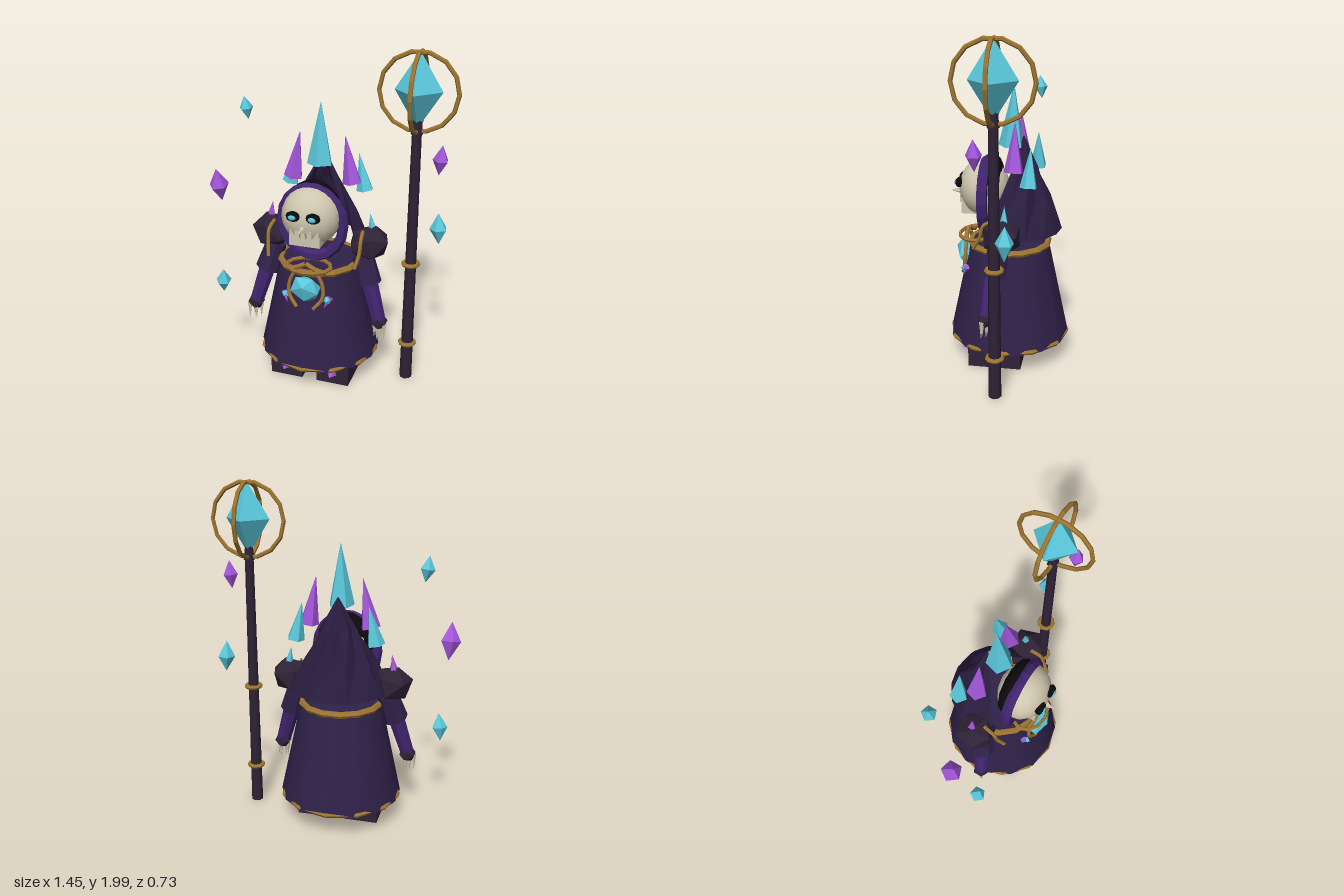
import * as THREE from 'three';

const mat = (name, color, side = THREE.FrontSide) => {
  const m = new THREE.MeshStandardMaterial({ color, side });
  m.name = name;
  return m;
};
const V = (x, y, z) => new THREE.Vector3(x, y, z);

// Gives every face its own normal for a faceted look
function facet(geo) {
  const g = geo.index ? geo.toNonIndexed() : geo;
  g.computeVertexNormals();
  return g;
}

export function createModel() {
  const robe = mat('robe cloth', 0x2f2149);
  const capeCloth = mat('cape cloth', 0x2a1d40, THREE.DoubleSide);
  const violet = mat('violet cloth', 0x41246f);
  const plum = mat('dark plum', 0x2e2236);
  const black = mat('black', 0x0a090d);
  const cyan = mat('cyan crystal', 0x5ac8dc);
  const purple = mat('purple crystal', 0xa356dc);
  const gold = mat('gold', 0x9c7430);
  const bone = mat('bone', 0xcfc6ae);

  const root = new THREE.Group();
  root.name = 'crystalMage';
  const body = new THREE.Group();
  body.name = 'body';
  body.position.x = -0.055;
  root.add(body);

  function add(parent, name, geo, material, pos = [0, 0, 0], rot = [0, 0, 0], scale = [1, 1, 1]) {
    const m = new THREE.Mesh(geo, material);
    m.name = name;
    m.position.set(...pos);
    m.rotation.set(...rot);
    m.scale.set(...scale);
    parent.add(m);
    return m;
  }
  // Tapered cylinder or cone running from a to b
  function between(parent, name, a, b, r0, r1, sides, material) {
    const d = b.clone().sub(a);
    const m = add(parent, name, facet(new THREE.CylinderGeometry(r1, r0, d.length(), sides)), material);
    m.position.copy(a).add(b).multiplyScalar(0.5);
    m.quaternion.setFromUnitVectors(V(0, 1, 0), d.normalize());
  }
  function tube(parent, name, points, r, material) {
    const curve = new THREE.CatmullRomCurve3(points);
    add(parent, name, facet(new THREE.TubeGeometry(curve, 10, r, 6)), material);
  }
  const ring = (r, t, n) => facet(new THREE.TorusGeometry(r, t, 6, n));
  const flat = Math.PI / 2;

  // Robe with gold hem and belt
  add(body, 'robe', new THREE.CylinderGeometry(0.235, 0.362, 0.59, 14), robe, [0, 0.45, 0]);
  add(body, 'hem', ring(0.35, 0.016, 12), gold, [0, 0.162, 0], [flat, 0, 0]);
  add(body, 'belt', ring(0.232, 0.02, 14), gold, [0, 0.735, 0], [flat, 0, 0]);

  // Collar and chest ornament
  add(body, 'collar', ring(0.13, 0.012, 12), gold, [0, 0.77, 0.2], [flat, 0, 0], [1, 0.77, 1]);
  add(body, 'chestGem', facet(new THREE.IcosahedronGeometry(0.097, 0)), cyan, [0, 0.65, 0.26], [0.3, 0, 0], [1, 1, 0.6]);

  // Hood rim, dark interior and cape
  add(body, 'hoodRim', ring(0.185, 0.03, 18), violet, [0, 1.015, 0.135], [0, 0, 0], [1, 1.12, 1.1]);
  add(body, 'hoodInterior', facet(new THREE.SphereGeometry(0.17, 14, 10)), black, [0, 1.07, 0.09], [0, 0, 0], [1, 1.1, 0.35]);
  const capeGeo = new THREE.CylinderGeometry(0.004, 0.29, 0.55, 10, 3, true, Math.PI * 0.37, Math.PI * 1.26);
  const p = capeGeo.attributes.position;
  for (let i = 0; i < p.count; i++) {
    const t = p.getY(i) / 0.55 + 0.5;
    const fold = 1 + (i % 2 ? -0.14 : 0.08) * Math.sin(Math.PI * t);
    p.setXYZ(i, p.getX(i) * fold, p.getY(i), p.getZ(i) * fold - 0.02 - 0.06 * t);
  }
  add(body, 'cape', facet(capeGeo), capeCloth, [0, 1.105, 0]);

  // Skull
  add(body, 'skull', new THREE.SphereGeometry(0.172, 16, 12), bone, [0, 1.065, 0.15], [0, 0, 0], [1, 1, 0.86]);
  add(body, 'jaw', new THREE.BoxGeometry(0.18, 0.062, 0.1), bone, [0, 0.953, 0.222]);
  add(body, 'nose', facet(new THREE.ConeGeometry(0.022, 0.07, 5)), bone, [0, 1.035, 0.318], [flat, 0, 0]);
  for (let i = -2; i <= 2; i++) {
    add(body, 'tooth', new THREE.BoxGeometry(0.026, 0.045, 0.03), bone, [i * 0.036, 0.998, 0.28 - 0.006 * i * i]);
  }

  // Crown: central spike, the paired spikes follow below
  between(body, 'crownSpike', V(0, 1.32, -0.01), V(0, 1.68, -0.025), 0.077, 0, 5, cyan);

  for (const s of [-1, 1]) {
    // Eyes
    add(body, 'eyeSocket', new THREE.SphereGeometry(1, 10, 8), black, [s * 0.058, 1.103, 0.285], [0, 0, 0], [0.043, 0.03, 0.028]);
    add(body, 'eyeGlow', new THREE.SphereGeometry(1, 8, 6), cyan, [s * 0.058, 1.103, 0.307], [0, 0, 0], [0.024, 0.016, 0.01]);

    // Crown side spikes
    between(body, 'crownSpike', V(s * 0.18, 1.21, -0.05), V(s * 0.135, 1.49, -0.05), 0.058, 0, 5, purple);
    between(body, 'crownSpike', V(s * 0.232, 1.14, -0.14), V(s * 0.19, 1.36, -0.145), 0.052, 0, 5, cyan);

    // Shoulder pad with strap and spike
    add(body, 'shoulderPad', facet(new THREE.IcosahedronGeometry(0.125, 0)), plum, [s * 0.3, 0.87, 0], [0, s * 0.3, s * 0.25], [1.02, 0.88, 0.95]);
    tube(body, 'shoulderStrap', [V(s * 0.272, 0.955, 0.04), V(s * 0.28, 0.92, 0.11), V(s * 0.278, 0.85, 0.13), V(s * 0.262, 0.775, 0.17)], 0.011, gold);
    between(body, 'shoulderSpike', V(s * 0.318, 0.935, -0.015), V(s * 0.3, 1.05, -0.015), 0.03, 0, 5, s < 0 ? purple : cyan);

    // Arm, hand and claws
    between(body, 'sleeve', V(s * 0.27, 0.8, 0.02), V(s * 0.318, 0.635, 0.05), 0.062, 0.076, 8, robe);
    between(body, 'forearm', V(s * 0.31, 0.68, 0.045), V(s * 0.388, 0.42, 0.075), 0.052, 0.043, 8, violet);
    add(body, 'hand', facet(new THREE.IcosahedronGeometry(0.052, 0)), plum, [s * 0.393, 0.405, 0.075]);
    for (let i = 0; i < 4; i++) {
      const x = s * (0.362 + i * 0.022), z = 0.075 + (i % 2 ? 0.02 : -0.005);
      between(body, 'claw', V(x, 0.4, z), V(x + s * 0.002, 0.29, z + 0.005), 0.015, 0, 5, bone);
    }

    // Boot with toe spike
    add(body, 'boot', new THREE.BoxGeometry(0.2, 0.2, 0.315), plum, [s * 0.146, 0.105, 0.057]);
    add(body, 'bootSpike', facet(new THREE.ConeGeometry(0.03, 0.055, 5)), purple, [s * 0.146, 0.075, 0.24], [flat, 0, 0]);

    // Gold trim framing the chest gem, with small hanging gems
    tube(body, 'chestTrim', [V(0, 0.805, 0.25), V(s * 0.06, 0.775, 0.25), V(s * 0.12, 0.755, 0.235)], 0.014, gold);
    tube(body, 'chestTrim', [V(s * 0.06, 0.765, 0.25), V(s * 0.1, 0.68, 0.25), V(s * 0.1, 0.6, 0.258), V(s * 0.05, 0.535, 0.278)], 0.011, gold);
    add(body, 'hangingGem', facet(new THREE.OctahedronGeometry(0.026, 0)), cyan, [s * 0.128, 0.592, 0.25], [0, 0, s * 0.5]);
    between(body, 'hangingSpike', V(s * 0.14, 0.605, 0.235), V(s * 0.112, 0.545, 0.262), 0.022, 0, 5, purple);
  }

  // Staff with caged crystal
  const staff = new THREE.Group();
  staff.name = 'staff';
  staff.position.set(0.495, 0, 0);
  root.add(staff);
  add(staff, 'shaft', new THREE.CylinderGeometry(0.027, 0.037, 1.56, 8), plum, [0, 0.79, 0]);
  add(staff, 'crystalMount', new THREE.CylinderGeometry(0.02, 0.034, 0.1, 8), plum, [0, 1.6, 0]);
  for (const y of [0.25, 0.775]) {
    add(staff, 'staffBand', ring(0.042, 0.013, 10), gold, [0, y, 0], [flat, 0, 0]);
  }
  add(staff, 'staffCrystal', facet(new THREE.OctahedronGeometry(1, 0)), cyan, [0, 1.785, 0], [0, 0, 0], [0.13, 0.208, 0.13]);
  for (const ry of [0, flat]) {
    add(staff, 'cageRing', ring(0.214, 0.0125, 14), gold, [0, 1.777, 0], [0, ry, 0]);
  }

  // Floating shards: x, y, z, half width, half height, material
  const shards = [
    [-0.553, 1.575, -0.12, 0.042, 0.072, cyan],
    [-0.673, 1.137, 0.05, 0.06, 0.11, purple],
    [-0.622, 0.56, 0.16, 0.048, 0.084, cyan],
    [0.645, 1.44, 0.072, 0.044, 0.085, purple],
    [0.63, 0.98, -0.077, 0.052, 0.095, cyan],
  ];
  shards.forEach(([x, y, z, w, h, material], i) => {
    const geo = facet(new THREE.SphereGeometry(1, 5, 2));
    add(root, 'floatingShard', geo, material, [x, y, z], [0.1, i * 1.3, 0.12], [w, h, w]);
  });

  return root;
}
